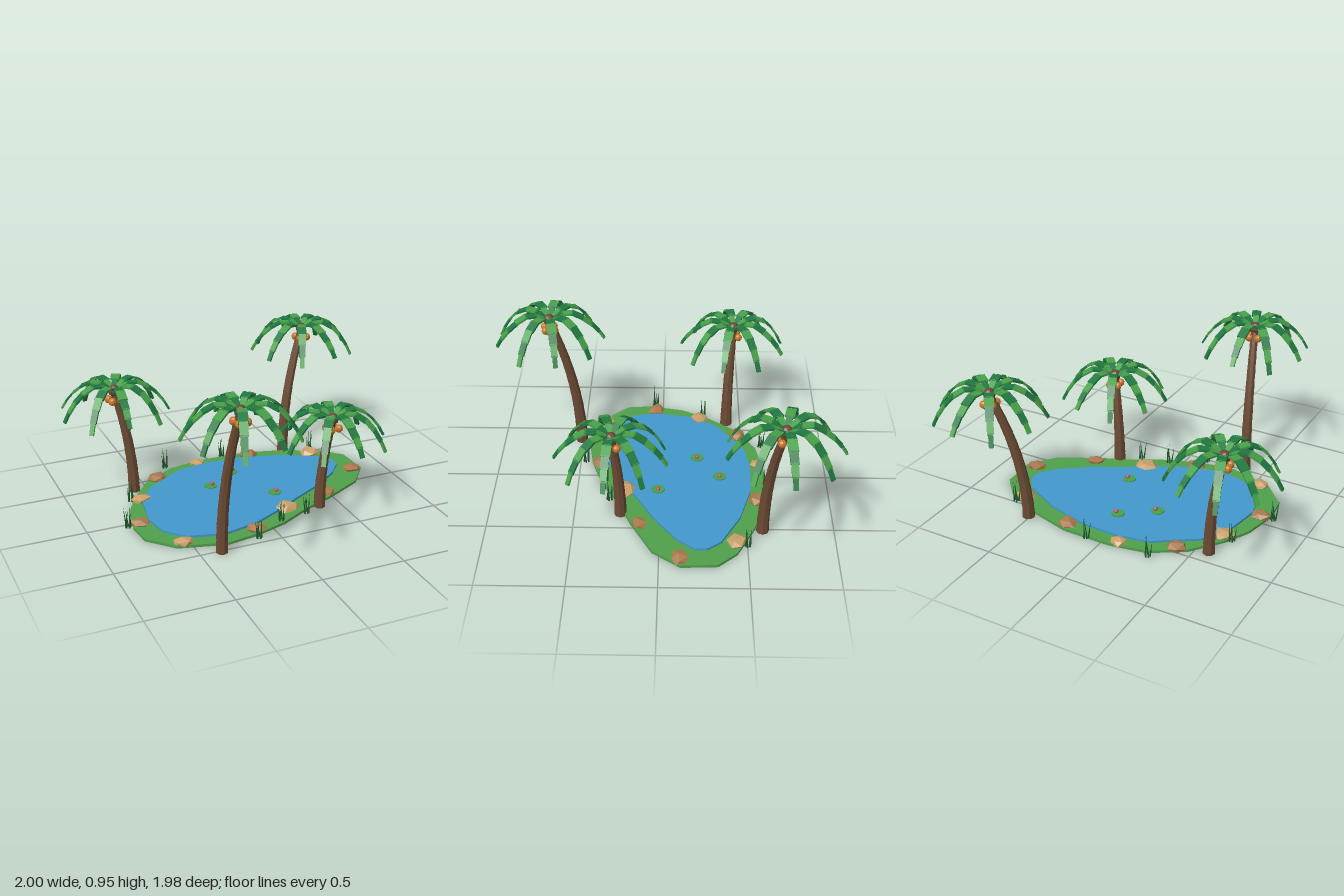
import * as THREE from 'three';
import { mergeGeometries } from 'three/addons/utils/BufferGeometryUtils.js';

const mat = (name, color) => {
  const m = new THREE.MeshStandardMaterial({ color, flatShading: true });
  m.name = name;
  return m;
};
const M = {
  grass: mat('bankGreen', 0x509f4c),
  water: mat('waterBlue', 0x4299cc),
  bark: mat('barkBrown', 0x6b4a33),
  leafLight: mat('leafLight', 0x48a04a),
  leafDark: mat('leafDark', 0x207840),
  coconut: mat('coconutOrange', 0xc8762a),
  stoneLight: mat('stoneTan', 0xc9a06a),
  stoneDark: mat('stoneBrown', 0xa87a4c),
  reed: mat('reedGreen', 0x1f5a2c),
  flower: mat('flowerPink', 0xc84878),
};
const UP = new THREE.Vector3(0, 1, 0);

function add(parent, name, geometry, material) {
  const mesh = new THREE.Mesh(geometry, material);
  mesh.name = name;
  parent.add(mesh);
  return mesh;
}

// Flat slab from a ground outline of [x, z] points
function slab(points, y0, y1) {
  const shape = new THREE.Shape(points.map(([x, z]) => new THREE.Vector2(x, -z)));
  const g = new THREE.ExtrudeGeometry(shape, { depth: y1 - y0, bevelEnabled: false });
  return g.rotateX(-Math.PI / 2).translate(0, y0, 0);
}

// Curved trunk of stacked, slightly flared rings
function trunkGeometry(base, top) {
  const mid = new THREE.Vector3(base.x, top.y / 2, base.z);
  const curve = new THREE.QuadraticBezierCurve3(base, mid, top);
  const n = 10, parts = [];
  for (let i = 0; i < n; i++) {
    const a = curve.getPoint(i / n), b = curve.getPoint((i + 1) / n);
    const dir = b.clone().sub(a);
    const r = 0.037 - 0.013 * i / n;
    const g = new THREE.CylinderGeometry(r - 0.003, r, dir.length() * (i ? 1.06 : 1), 8);
    g.applyQuaternion(new THREE.Quaternion().setFromUnitVectors(UP, dir.normalize()));
    const c = a.add(b).multiplyScalar(0.5);
    parts.push(g.translate(c.x, c.y, c.z));
  }
  return mergeGeometries(parts);
}

// One drooping frond along +x: overlapping boxes, alternating between two greens
function frondParts(droop) {
  const path = [[0.025, 0.025], [0.08, 0.055], [0.14, 0.06], [0.2, 0.03], [0.25, -0.015], [0.292, -0.07], [0.322, -0.125]];
  const widths = [0.036, 0.052, 0.054, 0.046, 0.038, 0.027];
  return widths.map((w, i) => {
    const [r0, h0] = path[i], [r1, h1] = path[i + 1];
    const y0 = h0 < 0.05 && i > 2 ? h0 * droop : h0, y1 = h1 < 0 ? h1 * droop : h1;
    const g = new THREE.BoxGeometry(Math.hypot(r1 - r0, y1 - y0) + 0.008, 0.012, w);
    g.rotateZ(Math.atan2(y1 - y0, r1 - r0));
    return g.translate((r0 + r1) / 2, (y0 + y1) / 2, 0);
  });
}

function palm(name, [bx, bz], [tx, ty, tz], startDeg) {
  const group = new THREE.Group();
  group.name = name;
  add(group, 'trunk', trunkGeometry(new THREE.Vector3(bx, 0, bz), new THREE.Vector3(tx, ty, tz)), M.bark);

  const crown = new THREE.Group();
  crown.name = 'crown';
  crown.position.set(tx, ty, tz);
  add(crown, 'crownHeart', new THREE.SphereGeometry(0.036, 8, 6), M.bark).position.y = 0.012;

  // Nine fronds around the heart
  const light = [], dark = [];
  for (let i = 0; i < 9; i++) {
    const angle = THREE.MathUtils.degToRad(startDeg + i * 40);
    frondParts(1 + 0.18 * Math.sin(i * 2.4)).forEach((g, k) => {
      ((i + k) % 2 ? dark : light).push(g.rotateY(-angle));
    });
  }
  add(crown, 'lightFronds', mergeGeometries(light), M.leafLight);
  add(crown, 'darkFronds', mergeGeometries(dark), M.leafDark);

  // Coconuts hanging under the fronds
  const nuts = [];
  for (let i = 0; i < 4; i++) {
    const a = i * Math.PI / 2 + 0.6;
    nuts.push(new THREE.SphereGeometry(0.024, 8, 6).translate(Math.cos(a) * 0.038, -0.045, Math.sin(a) * 0.038));
  }
  add(crown, 'coconuts', mergeGeometries(nuts), M.coconut);
  group.add(crown);
  return group;
}

// Faceted stone, flattened where it meets the ground
function rockGeometry(seed, size) {
  const g = new THREE.IcosahedronGeometry(1, 0).rotateZ(seed * 0.7).rotateY(seed * 1.9);
  const p = g.attributes.position;
  for (let i = 0; i < p.count; i++) {
    const x = p.getX(i), y = p.getY(i), z = p.getZ(i);
    const k = size * (1 + 0.16 * Math.sin(Math.round(x * 50) * 0.1 + Math.round(y * 50) * 0.14 + Math.round(z * 50) * 0.18 + seed));
    p.setXYZ(i, x * k * 1.1, Math.max(0.004, 0.022 + y * k * 0.5), z * k * 0.95);
  }
  g.computeVertexNormals();
  return g;
}

// Tuft of thin pointed blades
function tuftGeometry(seed) {
  const blades = [];
  for (let i = 0; i < 5; i++) {
    const a = i * 2.5 + seed, h = 0.09 + 0.05 * Math.abs(Math.sin(i * 1.7 + seed));
    const g = new THREE.ConeGeometry(0.006, h, 4).translate(0, h / 2, 0);
    g.rotateZ(0.13 * Math.sin(a * 3)).rotateX(0.08 * Math.cos(a * 2));
    blades.push(g.translate(Math.cos(a) * 0.014, 0, Math.sin(a) * 0.014));
  }
  return mergeGeometries(blades);
}

export function createModel() {
  const model = new THREE.Group();
  model.name = 'palmOasis';

  // Grassy bank and pond
  const bank = [[0.84, -0.12], [0.72, 0.04], [0.47, 0.17], [0.28, 0.25], [0.08, 0.36], [-0.12, 0.425], [-0.31, 0.455],
    [-0.59, 0.38], [-0.73, 0.23], [-0.745, 0.08], [-0.7, -0.13], [-0.62, -0.28], [-0.48, -0.46], [-0.28, -0.585],
    [-0.05, -0.625], [0.25, -0.62], [0.5, -0.55], [0.73, -0.44], [0.83, -0.33]];
  const pond = [[0.71, -0.2], [0.63, -0.1], [0.45, 0.03], [0.25, 0.14], [0.1, 0.23], [-0.08, 0.32], [-0.3, 0.37],
    [-0.51, 0.315], [-0.61, 0.2], [-0.64, 0.04], [-0.6, -0.19], [-0.5, -0.35], [-0.33, -0.46], [-0.26, -0.51],
    [-0.06, -0.545], [0.18, -0.535], [0.43, -0.465], [0.65, -0.35], [0.71, -0.27]];
  add(model, 'bank', slab(bank, 0, 0.016), M.grass);
  add(model, 'water', slab(pond, 0.01, 0.03), M.water);

  // Palms: base, trunk top, angle of the first frond
  model.add(
    palm('frontPalm', [-0.375, 0.51], [-0.33, 0.885, 0.67], -11),
    palm('backRightPalm', [-0.58, -0.41], [-0.67, 0.65, -0.44], 12),
    palm('backLeftPalm', [0.51, -0.59], [0.67, 0.79, -0.67], -6),
    palm('frontLeftPalm', [0.37, 0.23], [0.42, 0.56, 0.27], 5.5),
  );

  // Stones around the shore: x, z, size, light or dark
  [[-0.1, -0.585, 0.047, 1], [0.255, -0.57, 0.064, 0], [0.64, -0.44, 0.062, 1], [0.775, -0.12, 0.055, 0],
    [0.48, 0.12, 0.05, 0], [0.175, 0.21, 0.068, 1], [-0.11, 0.375, 0.06, 0], [-0.545, 0.355, 0.05, 1],
    [-0.69, 0.04, 0.06, 0], [-0.59, -0.24, 0.06, 1], [-0.41, -0.475, 0.066, 0],
  ].forEach(([x, z, size, light], i) => {
    add(model, 'rock', rockGeometry(i + 1, size), light ? M.stoneLight : M.stoneDark).position.set(x, 0, z);
  });

  // Reed tufts on the bank
  [[-0.77, 0.05], [-0.305, -0.62], [0.09, -0.63], [-0.13, 0.465], [0.07, 0.335], [0.25, 0.3], [0.66, -0.5], [-0.65, -0.26],
  ].forEach(([x, z], i) => add(model, 'reeds', tuftGeometry(i * 1.3), M.reed).position.set(x, 0.01, z));

  // Lily pads, each with a small bloom
  [[0.04, -0.355], [-0.15, -0.22], [0.175, 0.015]].forEach(([x, z]) => {
    const lily = new THREE.Group();
    lily.name = 'lily';
    lily.position.set(x, 0.033, z);
    add(lily, 'pad', new THREE.CylinderGeometry(0.04, 0.04, 0.006, 10), M.leafLight);
    add(lily, 'bloom', new THREE.SphereGeometry(0.013, 7, 5), M.flower).position.set(0.012, 0.012, 0);
    model.add(lily);
  });
  return model;
}
